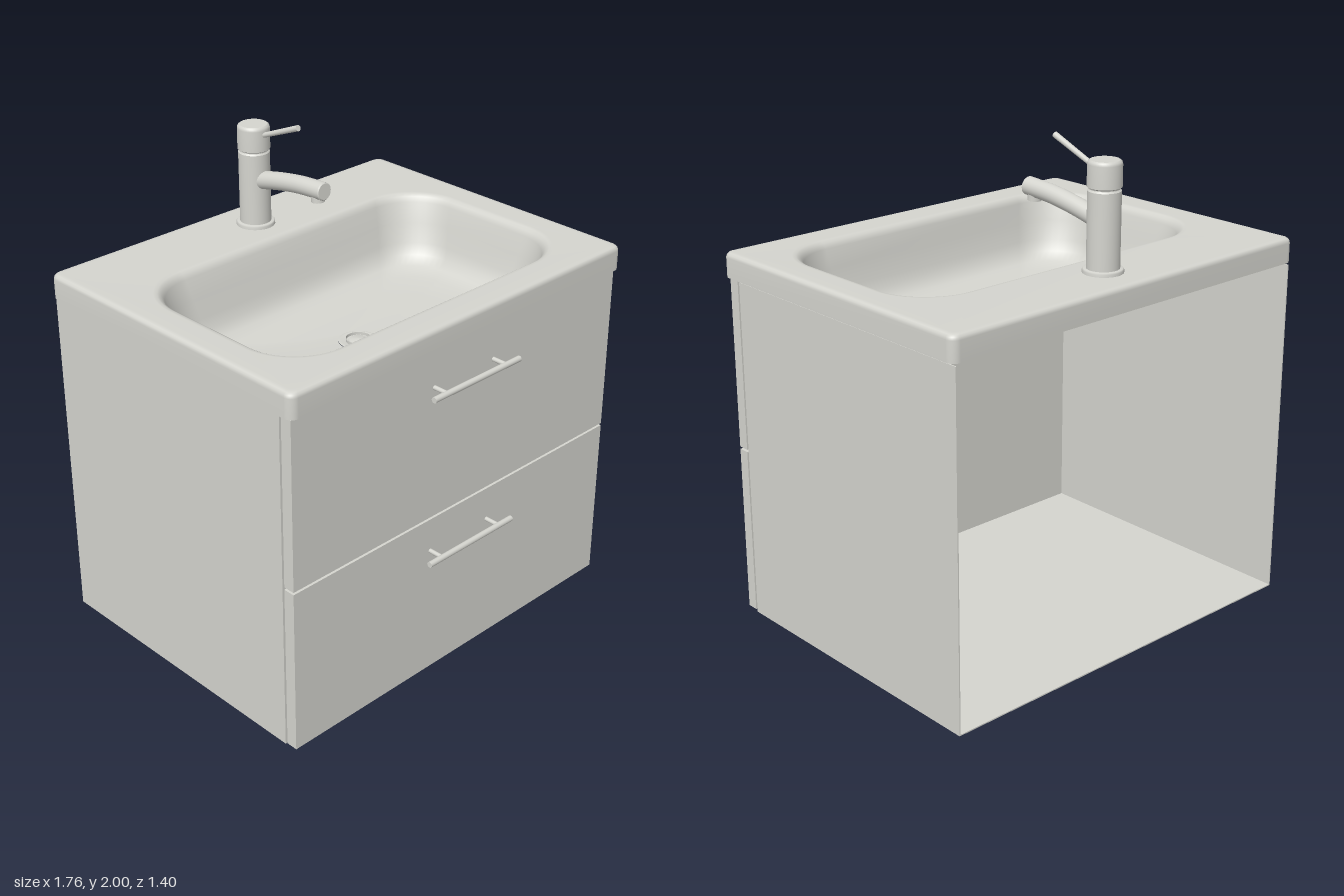
import * as THREE from 'three';

const ceramic = new THREE.MeshStandardMaterial({ color: 0xd4d4ce, side: THREE.DoubleSide });
ceramic.name = 'light grey';

function add(parent, name, geometry, x = 0, y = 0, z = 0) {
  const mesh = new THREE.Mesh(geometry, ceramic);
  mesh.name = name;
  mesh.position.set(x, y, z);
  parent.add(mesh);
  return mesh;
}

// Box given by its lower and upper corners
function slab(parent, name, [x0, y0, z0], [x1, y1, z1]) {
  return add(parent, name, new THREE.BoxGeometry(x1 - x0, y1 - y0, z1 - z0),
    (x0 + x1) / 2, (y0 + y1) / 2, (z0 + z1) / 2);
}

// Round rod between two points
function rod(parent, name, from, to, r0, r1 = r0) {
  const a = new THREE.Vector3(...from), b = new THREE.Vector3(...to);
  const mesh = add(parent, name, new THREE.CylinderGeometry(r1, r0, a.distanceTo(b), 20));
  mesh.position.copy(a).add(b).multiplyScalar(0.5);
  mesh.quaternion.setFromUnitVectors(new THREE.Vector3(0, 1, 0), b.sub(a).normalize());
  return mesh;
}

// Turned part; repeated profile points give a sharp edge
function turned(parent, name, profile, x, y, z) {
  return add(parent, name, new THREE.LatheGeometry(
    profile.map(([r, h]) => new THREE.Vector2(r, h)), 40), x, y, z);
}

// Rounded rectangle outline, the same point count for every size
function outline([hw, hd, r, y, cz]) {
  const points = [], steps = 12;
  for (let q = 0; q < 4; q++) {
    const sx = q === 0 || q === 3 ? 1 : -1, sz = q < 2 ? 1 : -1;
    for (let i = 0; i <= steps; i++) {
      const a = (q + i / steps) * Math.PI / 2;
      points.push([sx * (hw - r) + r * Math.cos(a), y, cz + sz * (hd - r) + r * Math.sin(a)]);
    }
  }
  return points;
}

// Surface through a series of outlines
function loft(rings) {
  const loops = rings.map(outline), n = loops[0].length, index = [];
  for (let r = 0; r < loops.length - 1; r++) {
    for (let k = 0; k < n; k++) {
      const a = r * n + k, b = r * n + (k + 1) % n;
      index.push(a, a + n, b, b, a + n, b + n);
    }
  }
  const geometry = new THREE.BufferGeometry();
  geometry.setAttribute('position', new THREE.Float32BufferAttribute(loops.flat(2), 3));
  geometry.setIndex(index);
  geometry.computeVertexNormals();
  return geometry;
}

function makeCabinet() {
  const cabinet = new THREE.Group();
  cabinet.name = 'cabinet';
  const t = 0.005;
  // Thin carcass, open at the back and top
  slab(cabinet, 'cabinetBottom', [-0.865, 0, -0.7], [0.865, t, 0.562]);
  slab(cabinet, 'cabinetFront', [-0.865, 0, 0.557], [0.865, 1.41, 0.562]);
  for (const s of [-1, 1]) {
    add(cabinet, s < 0 ? 'rightSide' : 'leftSide',
      new THREE.BoxGeometry(t, 1.41, 1.262), s * (0.865 - t / 2), 0.705, -0.069);
  }
  // Drawer fronts with bar handles
  [['lower', 0.008, 0.705, 0.563], ['upper', 0.715, 1.412, 1.271]].forEach(([name, y0, y1, hy]) => {
    slab(cabinet, name + 'DrawerFront', [-0.865, y0, 0.572], [0.865, y1, 0.62]);
    const handle = new THREE.Group();
    handle.name = name + 'Handle';
    rod(handle, 'handleBar', [-0.232, hy, 0.685], [0.232, hy, 0.685], 0.012);
    for (const x of [-0.16, 0.16]) rod(handle, 'handlePost', [x, hy, 0.618], [x, hy, 0.685], 0.009);
    cabinet.add(handle);
  });
  return cabinet;
}

function makeSink() {
  const sink = new THREE.Group();
  sink.name = 'sink';
  const oz = -0.032, bz = 0.065;
  // Skirt, rounded edge, flat deck and bowl: half width, half depth, corner radius, y, centre z
  const rings = [
    [0.86, 0.652, 0.02, 1.49, oz], [0.86, 0.652, 0.02, 1.42, oz],
    [0.86, 0.652, 0.02, 1.42, oz], [0.881, 0.673, 0.035, 1.42, oz],
    [0.881, 0.673, 0.035, 1.42, oz], [0.881, 0.673, 0.035, 1.5, oz],
    [0.878, 0.67, 0.034, 1.511, oz], [0.871, 0.663, 0.03, 1.518, oz],
    [0.86, 0.652, 0.03, 1.52, oz], [0.85, 0.642, 0.03, 1.52, oz],
    [0.765, 0.455, 0.25, 1.52, bz], [0.75, 0.44, 0.235, 1.518, bz],
    [0.736, 0.427, 0.222, 1.51, bz], [0.725, 0.415, 0.215, 1.49, bz],
    [0.703, 0.397, 0.205, 1.41, 0.071], [0.682, 0.376, 0.2, 1.33, 0.073],
    [0.663, 0.359, 0.195, 1.285, 0.073], [0.63, 0.33, 0.185, 1.252, 0.073],
    [0.57, 0.28, 0.17, 1.233, 0.073], [0.45, 0.21, 0.14, 1.222, 0.07],
    [0.25, 0.13, 0.11, 1.21, 0.068], [0.08, 0.08, 0.08, 1.203, 0.066],
  ];
  add(sink, 'basin', loft(rings));
  // Drain dish and plug above, outlet collar below
  turned(sink, 'drain', [[0.08, 0.003], [0.07, 0.006], [0.045, 0], [0.04, 0],
    [0.04, 0], [0.036, 0.008], [0, 0.011]], 0, 1.202, 0.066);
  turned(sink, 'drainCollar', [[0.05, 0.015], [0.05, -0.012], [0.05, -0.012],
    [0.035, -0.012], [0.035, -0.012], [0.035, 0.01]], 0, 1.2, 0.066);
  return sink;
}

function makeFaucet() {
  const faucet = new THREE.Group();
  faucet.name = 'faucet';
  const z = -0.525;
  turned(faucet, 'faucetFlange', [[0, -0.012], [0.078, -0.012], [0.078, -0.012],
    [0.078, 0.01], [0.074, 0.016], [0.06, 0.016]], 0, 1.52, z);
  turned(faucet, 'faucetBody', [[0.063, 0], [0.063, 0.292], [0.063, 0.292], [0.058, 0.298],
    [0.058, 0.298], [0.058, 0.312]], 0, 1.535, z);
  turned(faucet, 'faucetCap', [[0.056, 0], [0.056, 0], [0.065, 0.006], [0.065, 0.006],
    [0.065, 0.09], [0.062, 0.1], [0.055, 0.105], [0.055, 0.105], [0, 0.105]], 0, 1.835, z);

  // Gently arched spout with closed end
  const path = new THREE.CatmullRomCurve3([
    new THREE.Vector3(0, 1.712, -0.5), new THREE.Vector3(0, 1.74, -0.38),
    new THREE.Vector3(0, 1.76, -0.26), new THREE.Vector3(0, 1.77, -0.125),
  ]);
  add(faucet, 'spout', new THREE.TubeGeometry(path, 24, 0.036, 24));
  const tip = path.getPoint(1), ahead = path.getTangent(1);
  const end = tip.clone().addScaledVector(ahead, 0.004);
  rod(faucet, 'spoutEnd', tip.toArray(), end.toArray(), 0.036, 0.032);
  rod(faucet, 'aerator', [0, 1.75, -0.16], [0, 1.72, -0.158], 0.027);

  // Lever
  rod(faucet, 'lever', [0, 1.905, -0.47], [0, 1.988, -0.265], 0.01, 0.012);
  return faucet;
}

export function createModel() {
  const model = new THREE.Group();
  model.name = 'washstand';
  model.add(makeCabinet(), makeSink(), makeFaucet());
  return model;
}
